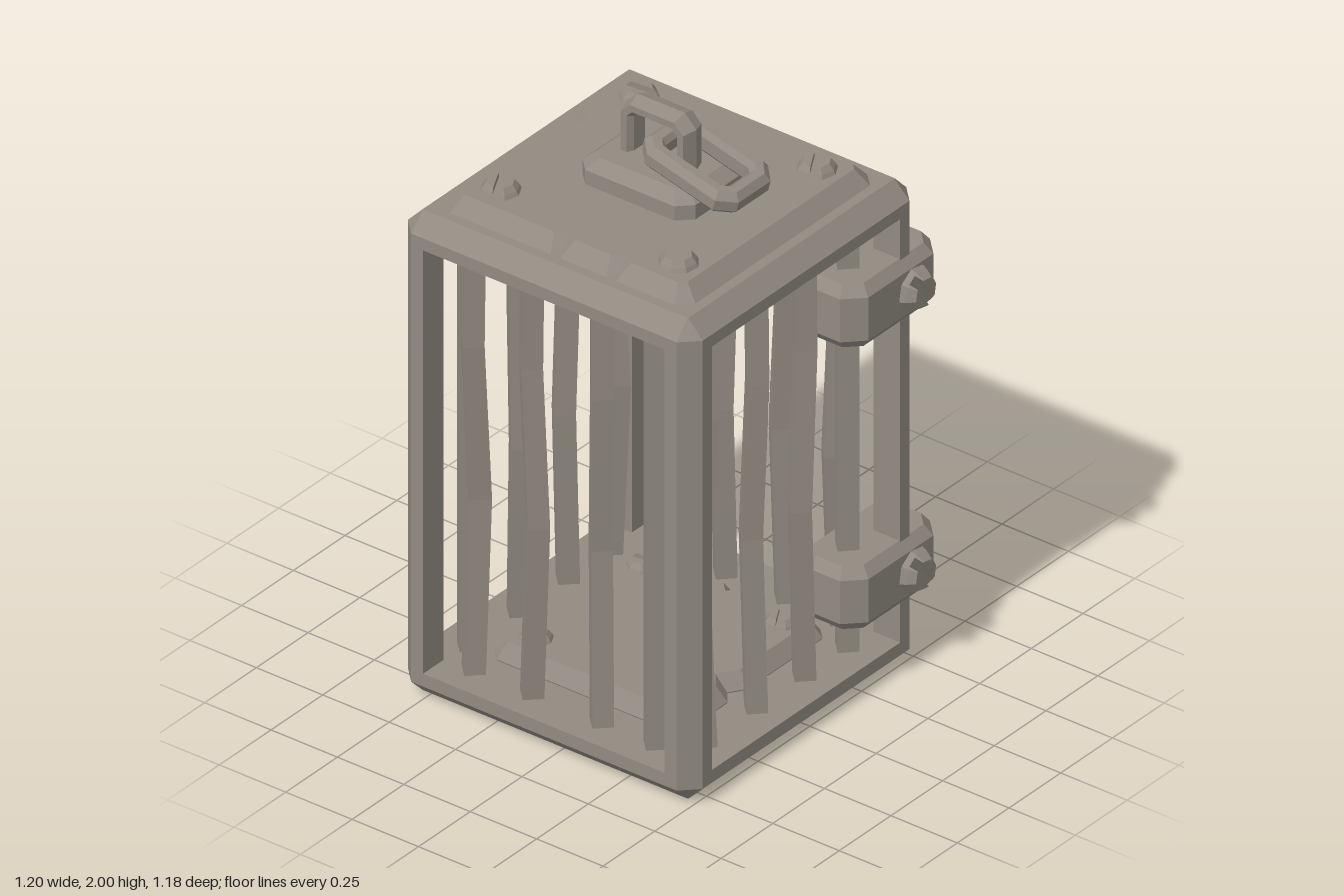
import * as THREE from 'three';
import { ConvexGeometry } from 'three/addons/geometries/ConvexGeometry.js';

const V = (x, y, z) => new THREE.Vector3(x, y, z);

// Rectangle with cut corners at height y, counter-clockwise from above
function cutRect(hx, hz, c, y) {
  return [
    [hx, -hz + c], [hx - c, -hz], [-hx + c, -hz], [-hx, -hz + c],
    [-hx, hz - c], [-hx + c, hz], [hx - c, hz], [hx, hz - c],
  ].map(([x, z]) => V(x, y, z));
}

// Skin a stack of loops; capped at both ends, or joined round into a ring
function loft(loops, ring = false) {
  const pos = [];
  const tri = (...pts) => pts.forEach((p) => pos.push(p.x, p.y, p.z));
  const n = loops[0].length;
  for (let i = 0; i < loops.length - (ring ? 0 : 1); i++) {
    const lo = loops[i], hi = loops[(i + 1) % loops.length];
    for (let j = 0; j < n; j++) {
      const k = (j + 1) % n;
      tri(lo[j], lo[k], hi[k]);
      tri(lo[j], hi[k], hi[j]);
    }
  }
  if (!ring) {
    const a = loops[0], b = loops[loops.length - 1];
    for (let j = 1; j < n - 1; j++) {
      tri(a[0], a[j + 1], a[j]);
      tri(b[0], b[j], b[j + 1]);
    }
  }
  const g = new THREE.BufferGeometry();
  g.setAttribute('position', new THREE.Float32BufferAttribute(pos, 3));
  g.computeVertexNormals();
  return g;
}

const stack = (rows) => loft(rows.map((r) => cutRect(...r)));

// Chain link: profile of [outward offset, height] swept round a cut rectangle
const link = (hx, hz, c, profile) =>
  loft(profile.map(([d, w]) => cutRect(hx + d, hz + d, c + 0.586 * d, w)), true);

// Bevelled square plate with one deep nick and two small ones
function nickedPlate(h, s) {
  const c = 0.045 * s;
  const pts = [
    [-h + c, h], [0.045 * s, h], [0.115 * s, h - 0.045 * s], [0.17 * s, h], [h - c, h], [h, h - c],
    [h, -h + c], [h - c, -h], [-h + c, -h], [-h, -h + c],
    [-h, -0.205 * s], [-h + 0.02 * s, -0.185 * s], [-h, -0.165 * s],
    [-h, 0.005 * s], [-h + 0.02 * s, 0.025 * s], [-h, 0.045 * s], [-h, h - c],
  ].map(([x, y]) => new THREE.Vector2(x, y));
  const g = new THREE.ExtrudeGeometry(new THREE.Shape(pts), {
    depth: 0.002, bevelEnabled: true, bevelSegments: 1,
    bevelThickness: 0.05, bevelSize: 0.045 * s, bevelOffset: -0.045 * s,
  });
  return g.rotateX(-Math.PI / 2);
}

export function createModel() {
  const root = new THREE.Group();
  const iron = new THREE.MeshStandardMaterial({ color: 0x918a81, flatShading: true });
  iron.name = 'weatheredIron';

  const add = (parent, name, geo, x = 0, y = 0, z = 0) => {
    const m = new THREE.Mesh(geo, iron);
    m.name = name;
    m.position.set(x, y, z);
    parent.add(m);
    return m;
  };

  // Eight-sided tapered screw head with a slot, pointing up
  const ringPts = (r, y) => [22.5, 67.5, -22.5, -67.5].map((d) => {
    const a = THREE.MathUtils.degToRad(d);
    return V(r * Math.cos(a), y, r * Math.sin(a));
  });
  const slot = 0.014;
  const halfPts = [[0.058, 0.015], [0.043, 0.034]].flatMap(([r, y]) =>
    [...ringPts(r, y), V(slot, y, 0.924 * r), V(slot, y, -0.924 * r)]);
  const halfHead = new ConvexGeometry(halfPts);
  const headBase = new THREE.CylinderGeometry(0.058, 0.068, 0.02, 8).rotateY(Math.PI / 8).translate(0, 0.005, 0);
  function screw(parent, name, x, y, z, turn) {
    const g = new THREE.Group();
    g.name = name;
    const head = new THREE.Group();
    head.name = 'screwHead';
    head.rotation.y = turn;
    add(head, 'screwBase', headBase);
    add(head, 'screwHalf', halfHead);
    add(head, 'screwHalf', halfHead).rotation.y = Math.PI;
    g.add(head);
    g.position.set(x, y, z);
    parent.add(g);
    return g;
  }

  // Cage body, centred on its own axis
  const cage = new THREE.Group();
  cage.name = 'cage';
  cage.position.set(-0.045, 0, -0.034);
  root.add(cage);
  const H = 0.555, C = 0.055;

  add(cage, 'baseSlab', stack([
    [0.33, 0.33, 0.002, 0.03], [0.39, 0.39, 0.002, 0], [0.5, 0.5, 0.002, 0], [H, H, C, C], [H, H, C, 0.1],
  ]));
  add(cage, 'roofSlab', stack([
    [0.35, 0.35, 0.002, 1.61], [0.39, 0.39, 0.002, 1.58], [H, H, C, 1.58], [H, H, C, 1.622], [0.5, 0.5, 0.002, 1.68],
  ]));
  add(cage, 'roofPlate', nickedPlate(0.467, 1), 0, 1.678, 0);
  add(cage, 'floorPlate', nickedPlate(0.362, 0.775), 0, 0.103, 0).rotation.y = Math.PI;

  // Corner posts with the outer edge cut off
  const post = (y) => [[H, -0.5], [0.5, -H], [0.455, -H], [0.455, -0.455], [H, -0.455]].map(([x, z]) => V(x, y, z));
  const postGeo = loft([post(0.09), post(1.59)]);
  for (let i = 0; i < 4; i++) add(cage, 'cornerPost', postGeo).rotation.y = (i * Math.PI) / 2;

  // Diamond-section bars, some bent sideways and inwards
  const bar = (x, z, bx, bz) => {
    const r = 0.046;
    return loft([[0.09, 0], [0.7, 1], [1.25, -0.2], [1.59, 0]].map(([y, k]) =>
      [[r, 0], [0, -r], [-r, 0], [0, r]].map(([dx, dz]) => V(x + dx + bx * k, y, z + dz + bz * k))));
  };
  // Each bar: [position along its side, sideways bend, inward bend]
  const sides = [
    { name: 'frontBar', s: 1, bars: [[-0.345, 0, 0.03], [-0.1, 0, 0.02], [0.133, -0.022, 0], [0.34, 0, 0]] },
    { name: 'backBar', s: -1, bars: [[-0.345, 0, 0], [-0.105, -0.015, 0.02], [0.133, -0.02, 0], [0.34, 0, 0.03]] },
    { name: 'rightSideBar', s: -1, bars: [[-0.35, 0, 0.03], [-0.13, 0.022, 0], [0.133, -0.02, 0.02], [0.335, 0, 0]] },
    { name: 'leftSideBar', s: 1, bars: [[-0.35, 0, 0], [-0.095, 0, 0.02], [0.135, -0.022, 0], [0.335, 0, 0.03]] },
  ];
  for (const { name, s, bars } of sides) {
    for (const [o, b, inward] of bars) {
      const d = 0.445 * s, i = -s * inward;
      add(cage, name, name.includes('Side') ? bar(d, o, i, b) : bar(o, d, b, i));
    }
  }

  // Screws on the roof and floor plates
  const turns = [-1.1, 0.1, -0.9, -1.05];
  let t = 0;
  for (const z of [-1, 1]) for (const x of [-1, 1]) {
    screw(cage, 'roofScrew', 0.335 * x, 1.728, 0.335 * z, turns[t]);
    screw(cage, 'floorScrew', 0.26 * x, 0.152, 0.26 * z, turns[t++]).scale.setScalar(0.85);
  }

  // Clamps round the front left corner post
  const clampGeo = stack([
    [0.19, 0.095, 0.045, -0.11], [0.2175, 0.1225, 0.06, -0.075],
    [0.2175, 0.1225, 0.06, 0.075], [0.19, 0.095, 0.045, 0.11],
  ]);
  for (const y of [0.345, 1.33]) {
    const clamp = new THREE.Group();
    clamp.name = 'hingeClamp';
    clamp.position.set(0.3825, y, 0.4225);
    root.add(clamp);
    add(clamp, 'clampBody', clampGeo);
    for (const s of [1, -1]) {
      const sc = screw(clamp, 'clampScrew', 0.065, 0, 0.121 * s, 0.6);
      sc.rotation.x = (s * Math.PI) / 2;
      sc.scale.set(1.15, 1.35, 1.15);
    }
  }

  // Stepped mount, fixed shackle and loose link on the roof
  add(root, 'shackleMount', stack([
    [0.155, 0.213, 0.045, 1.72], [0.155, 0.213, 0.045, 1.78], [0.118, 0.172, 0.03, 1.815],
  ]), -0.045, 0, -0.022);
  const shackle = link(0.095, 0.083, 0.014, [
    [0.034, -0.045], [0.05, 0], [0.034, 0.045], [0.012, 0.045], [0, 0.025], [0, -0.025], [0.012, -0.045],
  ]);
  add(root, 'shackle', shackle, -0.045, 1.855, -0.025).rotation.z = Math.PI / 2;
  const loose = link(0.065, 0.12, 0.014, [
    [0.042, -0.04], [0.063, -0.018], [0.063, 0.018], [0.042, 0.04], [0.016, 0.04], [0, 0.022], [0, -0.022], [0.016, -0.04],
  ]);
  add(root, 'looseLink', loose, -0.047, 1.853, 0.147).rotation.x = 0.25;

  return root;
}
